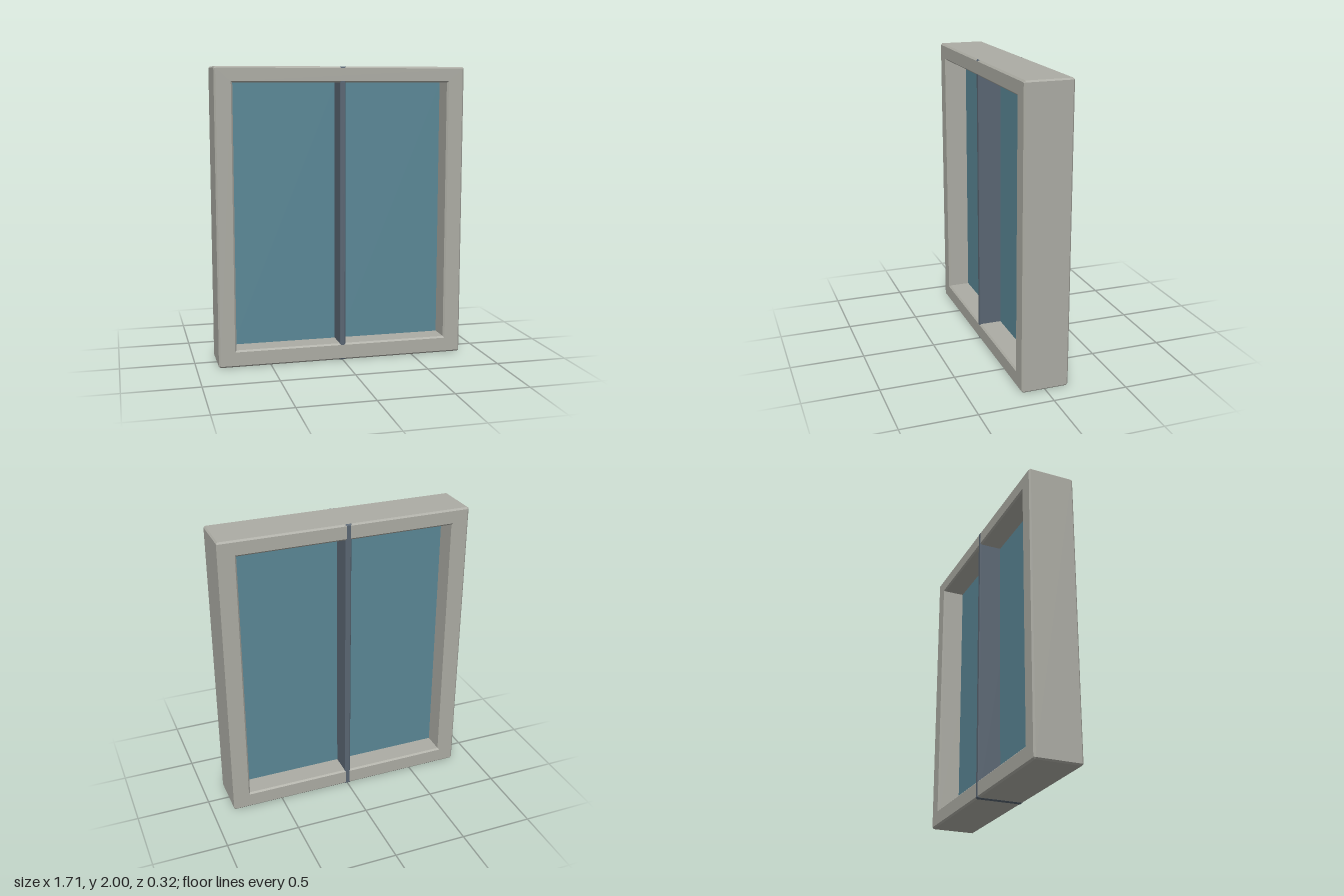
import * as THREE from 'three';

// Rectangle with cut corners, as an array of points
function rectPoints(x0, y0, x1, y1, c = 0) {
  const corners = c
    ? [[x0 + c, y0], [x1 - c, y0], [x1, y0 + c], [x1, y1 - c], [x1 - c, y1], [x0 + c, y1], [x0, y1 - c], [x0, y0 + c]]
    : [[x0, y0], [x1, y0], [x1, y1], [x0, y1]];
  return corners.map(([x, y]) => new THREE.Vector2(x, y));
}

// Extrude centred on z = 0, with one flat chamfer kept inside the outline
function chamferedExtrude(shape, depth, chamfer) {
  const geometry = new THREE.ExtrudeGeometry(shape, {
    depth: depth - 2 * chamfer,
    bevelEnabled: true,
    bevelSegments: 1,
    bevelSize: chamfer,
    bevelThickness: chamfer,
    bevelOffset: -chamfer,
  });
  return geometry.translate(0, 0, chamfer - depth / 2);
}

function addPart(group, name, geometry, color) {
  const material = new THREE.MeshStandardMaterial({ color, flatShading: true });
  const mesh = new THREE.Mesh(geometry, material);
  mesh.name = name;
  group.add(mesh);
  return mesh;
}

export function createModel() {
  const group = new THREE.Group();
  group.name = 'window';

  // Deep outer frame with chamfered edges and one opening
  const outline = new THREE.Shape(rectPoints(-0.853, 0, 0.853, 2, 0.01));
  outline.holes.push(new THREE.Path(rectPoints(-0.733, 0.115, 0.733, 1.893).reverse()));
  addPart(group, 'frame', chamferedExtrude(outline, 0.32, 0.011), 0xacaca4);

  // Centre bar running the full height; the tiny shift avoids coincident faces
  const bar = new THREE.Shape(rectPoints(-0.02, 0, 0.02, 2));
  const mullion = addPart(group, 'mullion', chamferedExtrude(bar, 0.32, 0.007), 0x5a6673);
  mullion.position.set(0, -0.0005, -0.0005);

  // Thin panes either side of the bar, in the middle of the depth
  for (const side of [-1, 1]) {
    const pane = addPart(group, side > 0 ? 'leftPane' : 'rightPane', new THREE.BoxGeometry(0.73, 1.8, 0.01), 0x5a8796);
    pane.position.set(side * 0.375, 1.004, 0);
  }

  return group;
}
